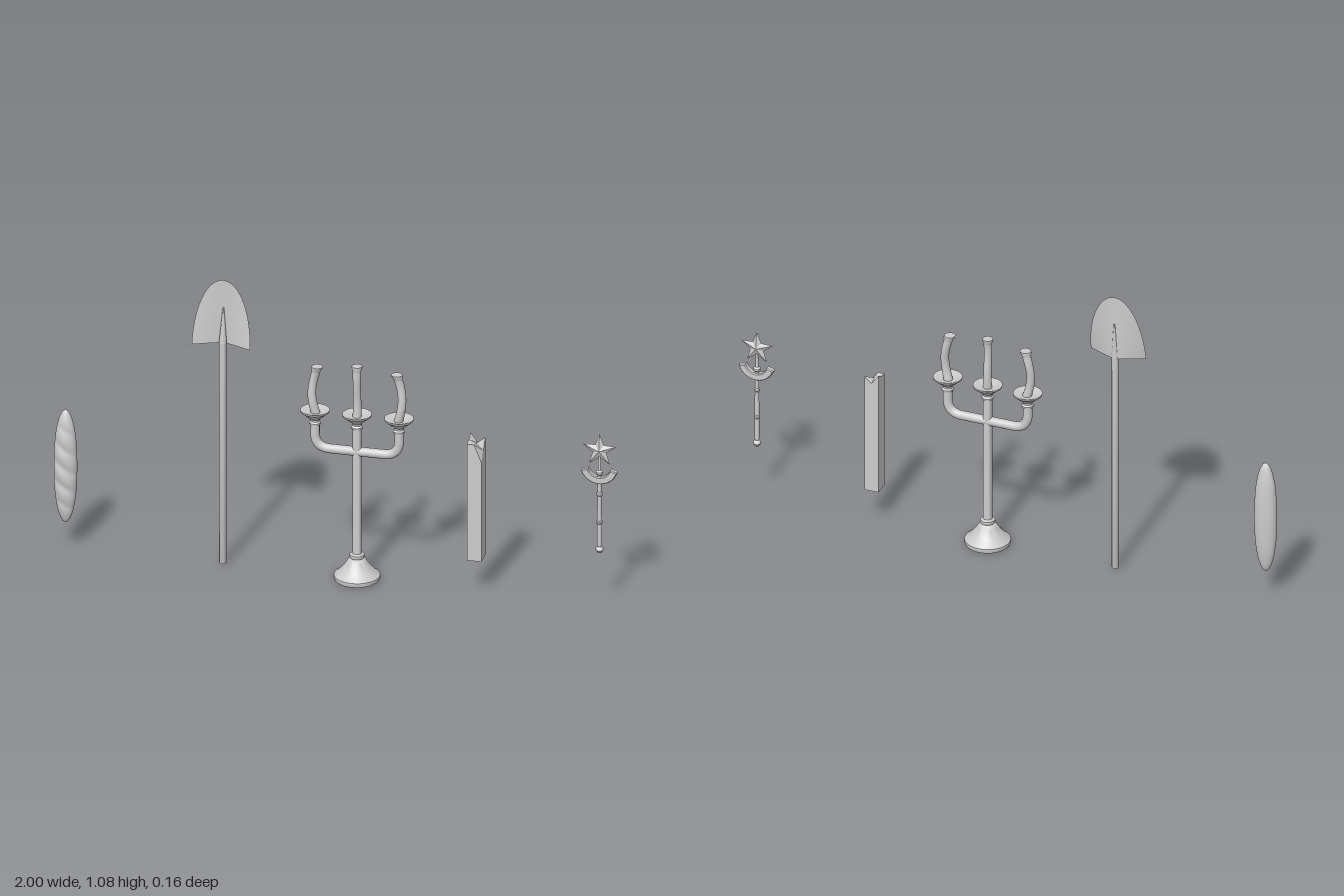
import * as THREE from 'three';
import { toCreasedNormals } from 'three/addons/utils/BufferGeometryUtils.js';

const grey = new THREE.MeshStandardMaterial({ color: 0xcccccc });
const flat = new THREE.MeshStandardMaterial({ color: 0xcccccc, flatShading: true });
const sheet = new THREE.MeshStandardMaterial({ color: 0xcccccc, side: THREE.DoubleSide });

function add(group, name, geometry, material = grey) {
  const mesh = new THREE.Mesh(geometry, material);
  mesh.name = name;
  group.add(mesh);
  return mesh;
}

// Move every vertex by a rule, then refresh the normals
function warp(geometry, rule) {
  const p = geometry.attributes.position;
  const v = new THREE.Vector3();
  for (let i = 0; i < p.count; i++) {
    rule(v.fromBufferAttribute(p, i));
    p.setXYZ(i, v.x, v.y, v.z);
  }
  geometry.computeVertexNormals();
  return geometry;
}

// Turned part from [radius, height] pairs, bottom to top
function turned(points, sides = 24) {
  const g = new THREE.LatheGeometry(points.map(([r, y]) => new THREE.Vector2(r, y)), sides);
  return toCreasedNormals(g, 0.7);
}

function makeBread() {
  const g = new THREE.Group();
  g.name = 'breadLoaf';
  add(g, 'loaf', warp(new THREE.SphereGeometry(1, 32, 64), (v) => {
    const fade = Math.max(0, 1 - v.y ** 4);
    const fat = 1 + 0.12 * fade * v.y * v.y;
    // slanted scores across the front crust
    const score = Math.abs(Math.sin((v.y * 3.6 + v.x * 0.5) * Math.PI / 1.2));
    const front = Math.max(0, v.z);
    const bump = 0.007 * (score - 0.55) * front * fade;
    v.set(v.x * 0.041 * fat, v.y * 0.213, v.z * 0.03 * fat + bump);
  })).position.set(-0.959, 0.318, 0.015);
  return g;
}

function makeShovel() {
  const g = new THREE.Group();
  g.name = 'shovel';
  g.position.x = -0.405;
  // Handle running into a tapered socket on the blade
  add(g, 'handle', turned([[0, 0.005], [0.011, 0.005], [0.0125, 0.009], [0.0125, 0.85]], 16));
  add(g, 'socket', warp(new THREE.CylinderGeometry(0.002, 0.0135, 0.13, 16, 6), (v) => {
    const t = (v.y + 0.065) / 0.13;
    v.y += 0.907;
    v.z -= 0.009 * t;
  }));
  // Dished blade with a rounded tip
  add(g, 'blade', warp(new THREE.PlaneGeometry(2, 1, 20, 24), (v) => {
    const u = v.x, t = Math.sin((v.y + 0.5) * Math.PI / 2);
    const width = Math.sqrt(Math.max(0, 1 - t * t));
    const spread = Math.abs(u) ** 1.15;
    v.set(u * 0.103 * width, 0.836 + 0.239 * t,
      -0.011 + 0.005 * t + spread * (0.036 * (1 - t) ** 1.4 + 0.004 * width));
  }), sheet);
  return g;
}

// Slightly drooping candle with a flared lip
function candle(height, radius, swayX, swayZ) {
  return warp(new THREE.CylinderGeometry(radius, radius, height, 20, 24), (v) => {
    const t = v.y / height + 0.5;
    const lip = t > 0.93 ? 1.18 : 1 - 0.12 * Math.sin(t * Math.PI);
    v.x = v.x * lip + swayX * Math.sin(t * Math.PI * 1.15);
    v.z = v.z * lip + swayZ * Math.sin(t * Math.PI * 2);
    v.y += height / 2;
  });
}

function makeCandelabra() {
  const g = new THREE.Group();
  g.name = 'candelabra';
  g.position.x = 0.071;
  add(g, 'baseAndStem', turned([[0, 0], [0.078, 0], [0.081, 0.008], [0.08, 0.016], [0.072, 0.022],
    [0.054, 0.04], [0.036, 0.064], [0.028, 0.078], [0.024, 0.08], [0.027, 0.086], [0.026, 0.093],
    [0.017, 0.098], [0.016, 0.12], [0.016, 0.6]], 32));
  const cup = turned([[0.015, 0.568], [0.02, 0.57], [0.021, 0.577], [0.016, 0.583], [0.017, 0.59],
    [0.026, 0.598], [0.05, 0.618], [0.051, 0.624], [0.046, 0.624], [0.022, 0.614], [0, 0.614]], 28);
  // Two mirrored arms
  for (const s of [-1, 1]) {
    const path = new THREE.CurvePath();
    const P = (x, y) => new THREE.Vector3(s * x, y, 0);
    path.add(new THREE.LineCurve3(P(0, 0.482), P(0.095, 0.482)));
    path.add(new THREE.QuadraticBezierCurve3(P(0.095, 0.482), P(0.149, 0.482), P(0.149, 0.535)));
    path.add(new THREE.LineCurve3(P(0.149, 0.535), P(0.149, 0.595)));
    add(g, s < 0 ? 'rightArm' : 'leftArm', new THREE.TubeGeometry(path, 36, 0.0165, 16));
  }
  for (const s of [-1, 0, 1]) {
    add(g, 'candleCup', cup).position.x = s * 0.149;
    add(g, 'candle', candle(s ? 0.175 : 0.192, s ? 0.0165 : 0.0155, s * 0.013, s ? 0.003 : -0.003))
      .position.set(s * 0.147, 0.613, 0);
  }
  return g;
}

function makeStake() {
  const g = new THREE.Group();
  g.name = 'brokenPost';
  // Heights of the splintered top, rows from back to front
  const tops = [[0.586, 0.55, 0.573], [0.57, 0.56, 0.535], [0.566, 0.566, 0.5]];
  const w = 0.052, d = 0.055;
  add(g, 'post', warp(new THREE.BoxGeometry(w, 1, d, 2, 1, 2), (v) => {
    const col = Math.round(v.x / w * 2) + 1, row = Math.round(v.z / d * 2) + 1;
    v.y = v.y > 0 ? tops[row][col] : 0.125;
  }), flat).position.x = 0.493;
  return g;
}

// Five-pointed star rising to a central ridge on both faces
function starGeometry(R, r, depth) {
  const pos = [];
  const at = (i) => {
    const a = Math.PI / 2 + i * Math.PI / 5, q = i % 2 ? r : R;
    return [Math.cos(a) * q, Math.sin(a) * q, 0];
  };
  for (let i = 0; i < 10; i++) {
    pos.push(0, 0, depth, ...at(i), ...at(i + 1));
    pos.push(0, 0, -depth, ...at(i + 1), ...at(i));
  }
  const g = new THREE.BufferGeometry();
  g.setAttribute('position', new THREE.Float32BufferAttribute(pos, 3));
  g.computeVertexNormals();
  return g;
}

function makeWand() {
  const g = new THREE.Group();
  g.name = 'starWand';
  g.position.x = 0.931;
  add(g, 'rod', turned([[0, 0.192], [0.007, 0.195], [0.015, 0.206], [0.014, 0.211], [0.007, 0.218],
    [0.0085, 0.224], [0.0085, 0.305], [0.011, 0.308], [0.011, 0.314], [0.0085, 0.317], [0.0075, 0.41],
    [0.011, 0.414], [0.011, 0.421], [0.0075, 0.425], [0.0075, 0.49], [0.013, 0.495], [0.013, 0.502],
    [0.006, 0.508], [0.004, 0.56], [0, 0.56]], 12), flat);
  add(g, 'star', starGeometry(0.062, 0.026, 0.012), flat).position.y = 0.582;
  // Crescent guard under the star
  const shape = new THREE.Shape();
  const a = 0.28;
  shape.absarc(0, 0, 0.067, Math.PI + a, 2 * Math.PI - a, false);
  shape.absarc(0, 0, 0.041, 2 * Math.PI - a, Math.PI + a, true);
  const guard = new THREE.ExtrudeGeometry(shape, {
    depth: 0.016, curveSegments: 10, bevelSize: 0.003, bevelOffset: -0.003, bevelThickness: 0.004, bevelSegments: 1,
  });
  guard.translate(0, 0.525, -0.008);
  add(g, 'crescentGuard', guard, flat);
  return g;
}

export function createModel() {
  const model = new THREE.Group();
  model.name = 'propSet';
  model.add(makeBread(), makeShovel(), makeCandelabra(), makeStake(), makeWand());
  return model;
}
